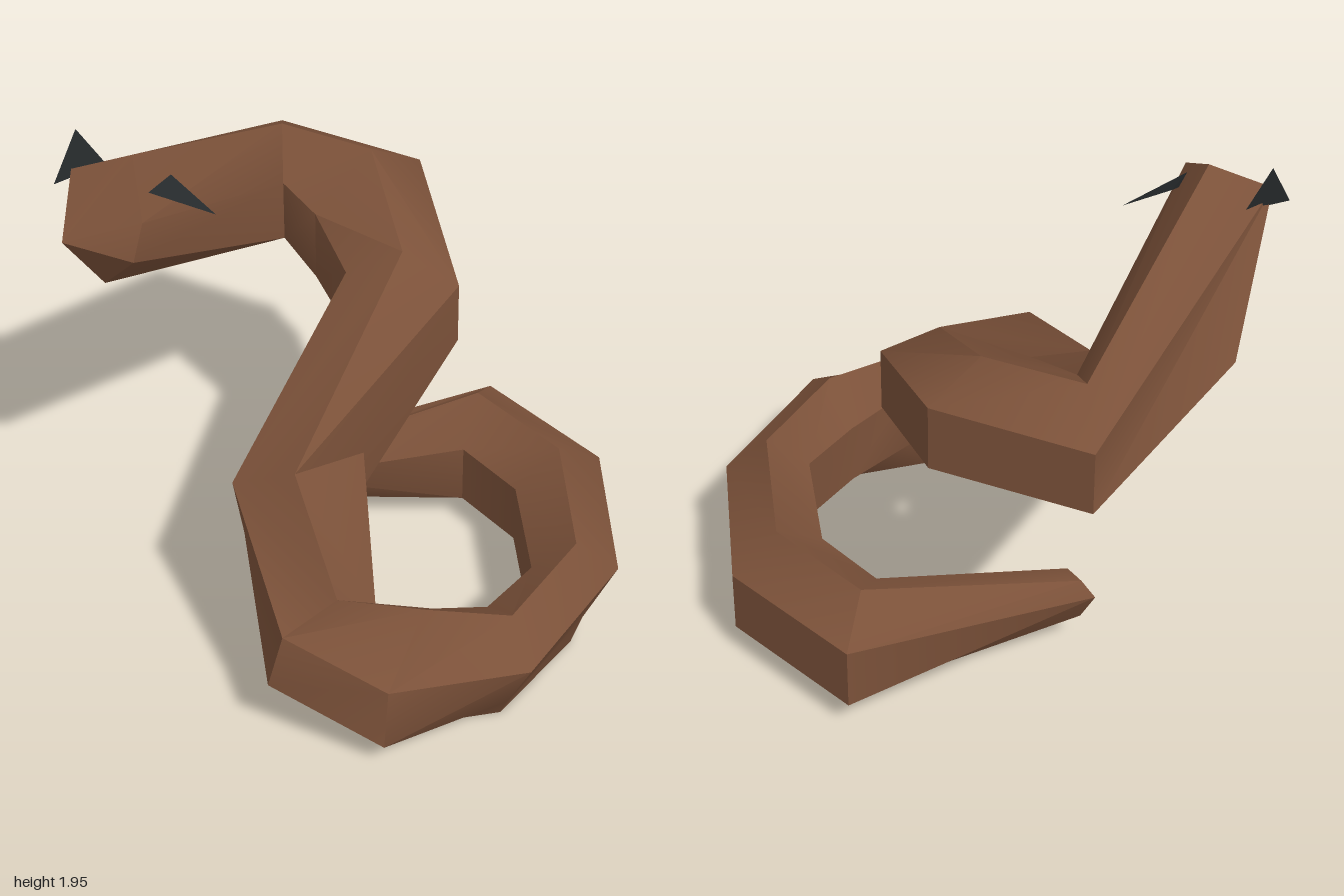
import * as THREE from 'three';
import { toCreasedNormals } from 'three/addons/utils/BufferGeometryUtils.js';

const brown = new THREE.MeshStandardMaterial({ color: 0x7b5139 });
brown.name = 'brown skin';
// Horns are thin, so both faces show
const black = new THREE.MeshStandardMaterial({ color: 0x25292b, side: THREE.DoubleSide });
black.name = 'black horn';

// Upright hexagonal ring: centre, and the sideways offset to its outer corners
function hexRing(x, y, z, dx, dz) {
  const h = 0.245;
  return [
    [x, y + h, z],
    [x + dx, y + h / 2, z + dz], [x + dx, y - h / 2, z + dz],
    [x, y - h, z],
    [x - dx, y - h / 2, z - dz], [x - dx, y + h / 2, z - dz],
  ];
}

// Tilted hexagon from three corners in a row; the others lie opposite
function tiltedRing(a, b, c) {
  const m = a.map((v, i) => v + c[i] - b[i]);
  return [a, b, c, ...[a, b, c].map((p) => p.map((v, i) => 2 * m[i] - v))];
}

const point = (x, y, z) => Array(6).fill([x, y, z]);

// Turn a ring by one corner, for the twist where the body rises
const roll = (ring) => [ring[5], ...ring.slice(0, 5)];

// Skin a chain of six-cornered rings, dropping collapsed triangles
function skin(rings) {
  const out = [];
  const tri = (...t) => {
    const [a, b, c] = t.map((p) => new THREE.Vector3(...p));
    if (b.sub(a).cross(c.sub(a)).length() > 1e-6) out.push(...t.flat());
  };
  for (let r = 0; r + 1 < rings.length; r++) {
    for (let i = 0; i < 6; i++) {
      const j = (i + 1) % 6, a = rings[r], b = rings[r + 1];
      tri(a[i], b[i], b[j]);
      tri(a[i], b[j], a[j]);
    }
  }
  const geometry = new THREE.BufferGeometry();
  geometry.setAttribute('position', new THREE.Float32BufferAttribute(out, 3));
  return toCreasedNormals(geometry, 0.7);
}

// Three-sided horn with its base sunk into the head
function horn(name, tip, base) {
  const [a, b, c] = base;
  const faces = [[tip, a, b], [tip, b, c], [tip, c, a], [a, c, b]];
  const geometry = new THREE.BufferGeometry();
  geometry.setAttribute('position', new THREE.Float32BufferAttribute(faces.flat(2), 3));
  geometry.computeVertexNormals();
  const mesh = new THREE.Mesh(geometry, black);
  mesh.name = name;
  return mesh;
}

export function createModel() {
  const group = new THREE.Group();
  group.name = 'snake';

  // Corners run: top, outer upper, outer lower, bottom, inner lower, inner upper
  const tail = [[-0.55, 0.31, 0.03], [-0.64, 0.3, 0], [-0.64, 0.3, 0],
    [-0.55, 0.14, 0.03], [-0.46, 0.3, 0.06], [-0.46, 0.3, 0.06]];
  const coilCorner = [[0.745, 0.49, -0.29], [0.86, 0.37, -0.4], [0.77, 0.12, -0.32],
    [0.745, 0, -0.29], [0.63, 0.12, -0.18], [0.63, 0.37, -0.18]];
  const coilSide = [[0.84, 0.49, 0.16], [1, 0.37, 0.23], [0.87, 0.12, 0.2],
    [0.81, 0, 0.17], [0.66, 0.12, 0.09], [0.66, 0.37, 0.09]];
  const coilFront = [[0.655, 0.565, 0.415], [0.72, 0.37, 0.66], [0.72, 0.12, 0.68],
    [0.6, 0, 0.49], [0.58, 0.19, 0.32], [0.585, 0.45, 0.3]];
  const rise = [[0.13, 0.94, 0.53], [-0.1, 0.82, 0.62], [-0.08, 0.58, 0.59],
    [-0.04, 0.57, 0.3], [0.12, 0.68, 0.17], [0.12, 0.83, 0.18]];
  const neckBend = [[-0.48, 1.56, -0.46], [-0.49, 1.4, -0.18], [-0.49, 1.12, -0.18],
    [-0.48, 1.07, -0.46], [-0.43, 1.19, -0.67], [-0.43, 1.44, -0.67]];
  const face = [[-0.65, 1.91, 0.53], [-0.46, 1.78, 0.66], [-0.46, 1.64, 0.71],
    [-0.65, 1.45, 0.69], [-1, 1.39, 0.26], [-0.83, 1.83, 0.66]];

  const body = new THREE.Mesh(skin([
    point(-0.55, 0.25, 0.03),
    tail,
    hexRing(-0.12, 0.245, -0.69, -0.1, -0.185),
    hexRing(0.335, 0.245, -0.655, 0.05, -0.185),
    coilCorner,
    coilSide,
    coilFront,
    tiltedRing([0.47, 0.65, 0.66], [0.38, 0.53, 0.84], [0.33, 0.29, 0.87]),
    rise,
    roll(hexRing(-0.105, 1.145, -0.245, -0.175, 0.115)),
    roll(neckBend),
    roll(hexRing(-0.84, 1.315, -0.35, 0.16, 0.15)),
    roll(face),
    point(-0.68, 1.68, 0.84),
  ]), brown);
  body.name = 'body';
  group.add(body);

  group.add(horn('rightHorn', [-0.865, 1.95, 0.6],
    [[-0.82, 1.8, 0.63], [-0.82, 1.8, 0.52], [-0.87, 1.77, 0.71]]));
  group.add(horn('leftHorn', [-0.4, 1.71, 0.38],
    [[-0.57, 1.82, 0.43], [-0.54, 1.82, 0.56], [-0.55, 1.79, 0.5]]));
  return group;
}
